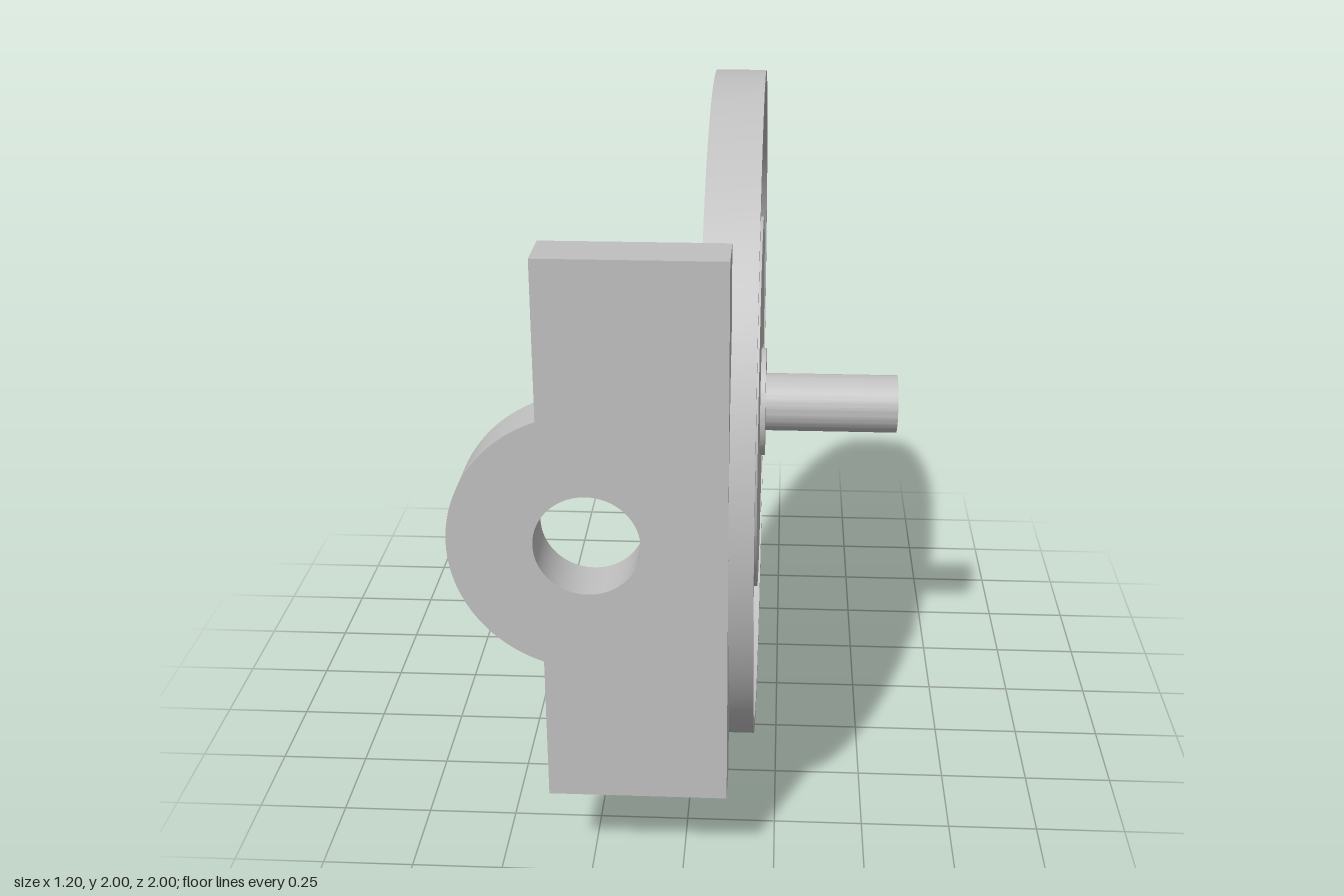
import * as THREE from 'three';
import { toCreasedNormals } from 'three/addons/utils/BufferGeometryUtils.js';

export function createModel() {
  const model = new THREE.Group();
  const grey = new THREE.MeshStandardMaterial({ color: 0xc0c0c0 });
  grey.name = 'light grey';

  const add = (name, geometry) => {
    const mesh = new THREE.Mesh(toCreasedNormals(geometry, 0.5), grey);
    mesh.name = name;
    model.add(mesh);
    return mesh;
  };

  // Wheel with raised rim, recessed web, boss, hub collar and shaft: [radius, x along axis]
  const profile = [
    [0, 0.04], [1, 0.04], [1, 0.185], [0.96, 0.185], [0.96, 0.147], [0.565, 0.147],
    [0.565, 0.185], [0.165, 0.185], [0.165, 0.2], [0.088, 0.2], [0.088, 0.6], [0, 0.6],
  ].map(([r, x]) => new THREE.Vector2(r, x));
  const wheel = add('wheelAndShaft', new THREE.LatheGeometry(profile, 128));
  wheel.rotation.z = -Math.PI / 2;
  wheel.position.y = 1;

  // Mounting plate with a rounded lug and a round hole
  const left = -0.36, right = 0.12, bottom = 0.25, top = 1.76;
  const cx = -0.24, cy = 1, lugRadius = 0.36;
  const start = Math.acos((left - cx) / lugRadius);
  const plate = new THREE.Shape();
  plate.moveTo(left, bottom);
  plate.lineTo(right, bottom);
  plate.lineTo(right, top);
  plate.lineTo(left, top);
  plate.absarc(cx, cy, lugRadius, start, 2 * Math.PI - start, false);
  plate.closePath();
  const hole = new THREE.Path();
  hole.absarc(cx, cy, 0.138, 0, Math.PI * 2, true);
  plate.holes.push(hole);
  add('mountingPlate', new THREE.ExtrudeGeometry(plate, {
    depth: 0.15, bevelEnabled: false, curveSegments: 48,
  })).position.z = 0.85;

  return model;
}
